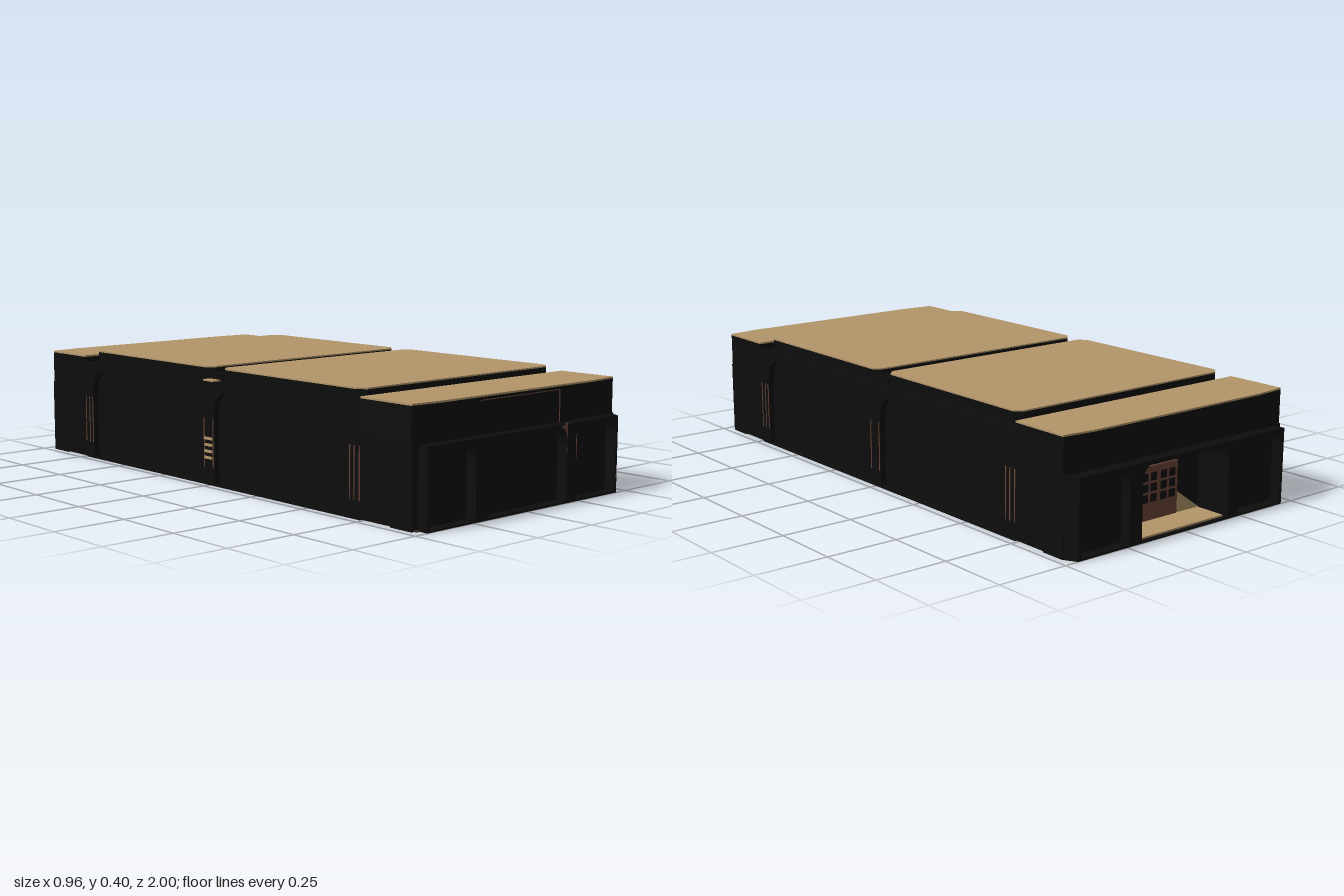
import * as THREE from 'three';

const mat = (name, color) => Object.assign(new THREE.MeshStandardMaterial({ color }), { name });

export function createModel() {
  const root = new THREE.Group();
  const black = mat('black wall', 0x0d0d0d);
  const tan = mat('tan roof', 0xb3966a);
  const brown = mat('brown wood', 0x6b4638);
  const dark = mat('dark brown floor', 0x4a3129);

  const add = (name, geo, material) => {
    const m = new THREE.Mesh(geo, material);
    m.name = name;
    root.add(m);
    return m;
  };
  // Box given by its min and max on each axis
  const box = (name, material, x0, x1, y0, y1, z0, z1) => {
    const g = new THREE.BoxGeometry(x1 - x0, y1 - y0, z1 - z0);
    return add(name, g.translate((x0 + x1) / 2, (y0 + y1) / 2, (z0 + z1) / 2), material);
  };
  // Upright prism from a plan outline of [x, z] corners
  const prism = (name, material, plan, y0, y1) => {
    const s = new THREE.Shape(plan.map(([x, z]) => new THREE.Vector2(x, -z)));
    const g = new THREE.ExtrudeGeometry(s, { depth: y1 - y0, bevelEnabled: false });
    return add(name, g.rotateX(-Math.PI / 2).translate(0, y0, 0), material);
  };
  // Wall outline and round-cornered arch opening
  const rect = (u0, u1, h) => new THREE.Shape([[u0, 0], [u1, 0], [u1, h], [u0, h]].map(p => new THREE.Vector2(...p)));
  const arch = (u0, u1, top, r = 0.06) => {
    const p = new THREE.Path();
    p.moveTo(u0, 0.006);
    p.lineTo(u1, 0.006);
    p.lineTo(u1, top - r);
    p.quadraticCurveTo(u1, top, u1 - r, top);
    p.lineTo(u0 + r, top);
    p.quadraticCurveTo(u0, top, u0, top - r);
    p.closePath();
    return p;
  };
  const wall = (u0, u1, h, arches, depth) => {
    const s = rect(u0, u1, h);
    s.holes.push(...arches);
    return new THREE.ExtrudeGeometry(s, { depth, bevelEnabled: false, curveSegments: 6 });
  };

  // Base and central hall
  box('floor', dark, -0.465, 0.465, 0, 0.004, -0.97, 0.97);
  box('hallCore', black, -0.455, 0.455, 0.004, 0.355, -0.74, 0.74);
  box('roofRidge', black, -0.445, 0.445, 0.35, 0.38, -0.04, 0.04);

  // Side walls with two arched bays each
  for (const x of [-0.475, 0.455]) {
    const g = wall(-0.74, 0.74, 0.355, [arch(-0.69, -0.03, 0.33, 0.09), arch(0.03, 0.69, 0.33, 0.09)], 0.02);
    add('sideWall', g.rotateY(Math.PI / 2).translate(x, 0, 0), black);
  }
  for (const s of [-1, 1])
    for (const z of [-0.738, -0.715, -0.695, -0.024, 0.024, 0.695, 0.715, 0.738])
      box('sideTrim', brown, s * 0.4755 - 0.001, s * 0.4755 + 0.001, 0.06, 0.23, z - 0.002, z + 0.002);

  // Two raised roof slabs with clipped corners
  for (const s of [-1, 1]) {
    const slab = (w, z0, z1, c) => [
      [-w + c, z0], [w - c, z0], [w, z0 + c], [w, z1 - c],
      [w - c, z1], [-w + c, z1], [-w, z1 - c], [-w, z0 + c]].map(([x, z]) => [x, z * s]);
    prism('roofSlab', black, slab(0.445, 0.028, 0.717, 0.025), 0.35, 0.395);
    prism('roofPanel', tan, slab(0.445, 0.028, 0.717, 0.025), 0.395, 0.4);
  }

  // End blocks with slightly bowed outer edge
  for (const s of [-1, 1]) {
    const plan = [[-0.475, 0.74], [0.475, 0.74], [0.475, 0.955], [0.36, 0.967], [-0.36, 0.967], [-0.475, 0.955]]
      .map(([x, z]) => [x, z * s]);
    prism('endRoof', tan, plan, 0.375, 0.381);
    prism('endUpperWall', black, plan, 0.262, 0.375);
    box('endCore', black, -0.475, 0.475, 0.004, 0.262, Math.min(s * 0.74, s * 0.87), Math.max(s * 0.74, s * 0.87));
    const middle = arch(-0.19, 0.19, 0.25);
    // Deep central alcove at the back, solid at the front
    add('endLowerWall', wall(-0.475, 0.475, 0.262, s < 0 ? [middle] : [], 0.09)
      .translate(0, 0, s > 0 ? 0.87 : -0.96), black);
    add('arcade', wall(-0.45, 0.45, 0.258, [middle, arch(-0.44, -0.24, 0.25), arch(0.24, 0.44, 0.25)], 0.041)
      .translate(0, 0, s > 0 ? 0.959 : -1), black);
    prism('cornerChamfer', black, [[0.45, s * 0.955], [0.45, s], [0.475, s * 0.955]], 0, 0.258);
  }

  // Back alcove: tan paving, splayed side panels and a glazed double door
  box('alcoveFloor', tan, -0.185, 0.185, 0.006, 0.012, -0.985, -0.87);
  for (const s of [-1, 1]) {
    const tri = new THREE.Shape([[0.19, 0.012], [0.085, 0.012], [0.085, 0.085]].map(([x, y]) => new THREE.Vector2(s * x, y)));
    add('sidePanel', new THREE.ExtrudeGeometry(tri, { depth: 0.004, bevelEnabled: false }).translate(0, 0, -0.875), tan);
  }
  box('door', brown, -0.085, 0.085, 0.012, 0.19, -0.878, -0.87);
  for (const x of [-0.06, -0.022, 0.022, 0.06])
    for (const y of [0.085, 0.12, 0.155])
      box('doorPane', black, x - 0.013, x + 0.013, y - 0.013, y + 0.013, -0.88, -0.877);

  // Pillar cap and slats on the right-hand side
  box('pillarCap', tan, -0.476, -0.445, 0.355, 0.36, -0.028, 0.028);
  for (let i = 0; i < 4; i++)
    box('slat', tan, -0.479, -0.474, 0.09 + i * 0.022, 0.099 + i * 0.022, -0.02, 0.02);

  // Fine brown trim on the front
  box('frontTrimTop', brown, -0.187, 0.187, 0.364, 0.3665, 0.966, 0.969);
  box('frontTrimSide', brown, 0.185, 0.187, 0.262, 0.366, 0.966, 0.969);
  box('frontTrimPost', brown, 0.191, 0.193, 0.04, 0.22, 0.999, 1);
  box('frontTrimPost', brown, 0.233, 0.237, 0.14, 0.222, 0.998, 1.0005);
  box('frontTrimPost', brown, 0.446, 0.449, 0.05, 0.1, 0.998, 1.0005);
  const bracket = new THREE.Shape([[0.158, 0.25], [0.19, 0.262], [0.19, 0.21], [0.18, 0.237]].map(p => new THREE.Vector2(...p)));
  add('archBracket', new THREE.ExtrudeGeometry(bracket, { depth: 0.002, bevelEnabled: false }).translate(0, 0, 0.9985), brown);

  return root;
}
